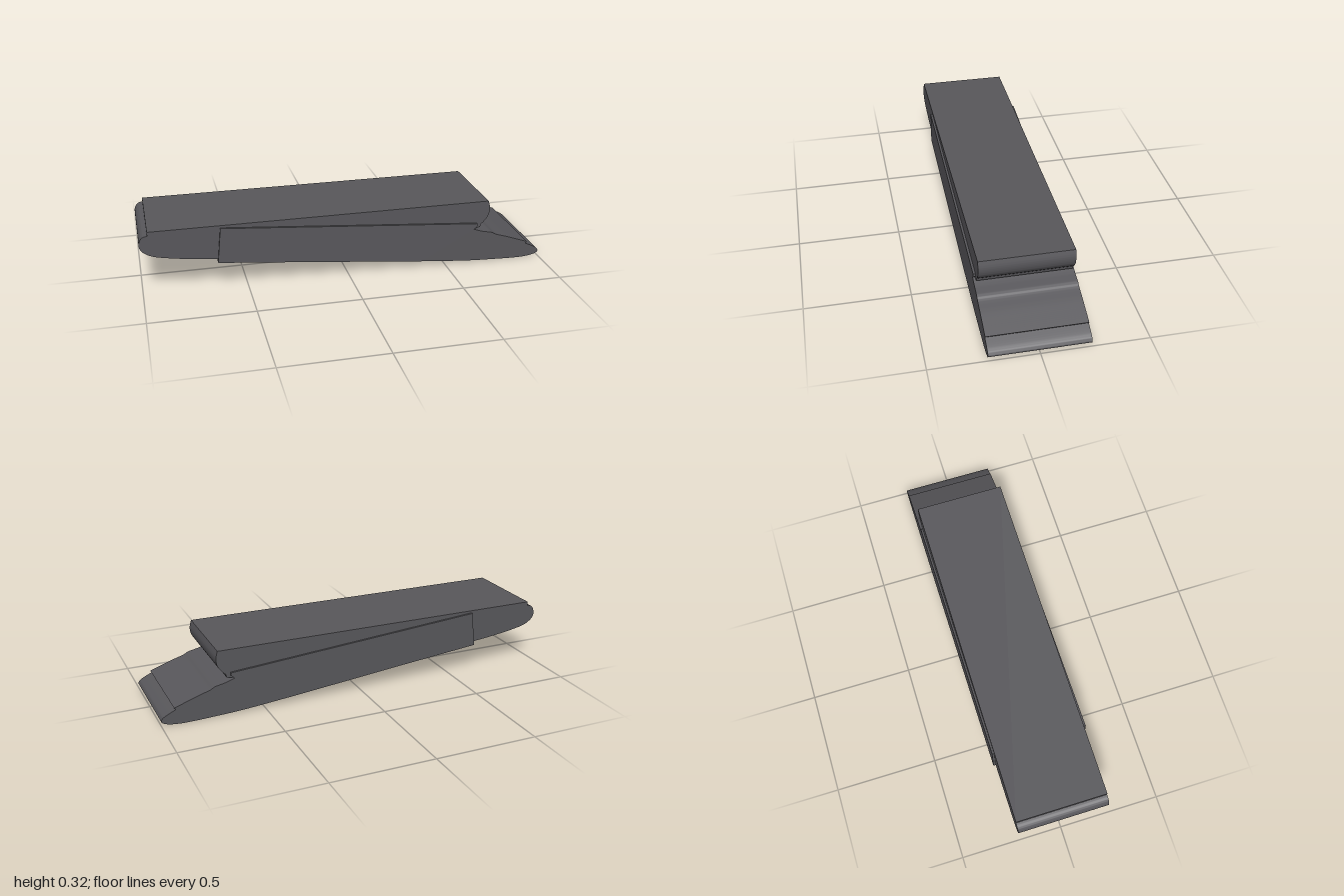
import * as THREE from 'three';
import { toCreasedNormals } from 'three/addons/utils/BufferGeometryUtils.js';

const darkGrey = new THREE.MeshStandardMaterial({ color: 0x58575b });
darkGrey.name = 'dark grey';

// Trace a closed side profile: a single point is a straight line, a list is a smooth curve
function profile(start, steps) {
  const shape = new THREE.Shape();
  shape.moveTo(...start);
  for (const step of steps) {
    if (Array.isArray(step[0])) shape.splineThru(step.map(([x, y]) => new THREE.Vector2(x, y)));
    else shape.lineTo(...step);
  }
  return shape;
}

// Extrude a side profile to a width centred on z = 0
function slab(name, shape, width) {
  const geometry = new THREE.ExtrudeGeometry(shape, { depth: width, bevelEnabled: false, curveSegments: 6 });
  geometry.translate(0, 0, -width / 2);
  const mesh = new THREE.Mesh(toCreasedNormals(geometry, 0.5), darkGrey);
  mesh.name = name;
  return mesh;
}

export function createModel() {
  const model = new THREE.Group();
  model.name = 'wedge';

  // Upper body: flat top, rounded nose at -x, hooked lip at +x
  const body = profile([-0.96, 0.322], [
    [-0.96, 0.302],
    [[-0.983, 0.296], [-0.998, 0.275], [-1, 0.245], [-0.98, 0.217], [-0.93, 0.193], [-0.83, 0.174]],
    [-0.72, 0.16], [-0.64, 0.152], [-0.6, 0.148], [0.55, 0.04], [0.64, 0.18],
    [0.68, 0.185], [0.683, 0.2],
    [[0.705, 0.222], [0.722, 0.25], [0.727, 0.285], [0.718, 0.322]],
  ]);
  model.add(slab('upperBody', body, 0.445));

  // Lower sleeve: slightly wider, sloping down to a rounded toe at +x
  const sleeve = profile([-0.622, 0.311], [
    [-0.64, 0.136], [-0.2, 0.092], [0.35, 0.035],
    [[0.6, 0.012], [0.75, 0.004], [0.88, 0], [0.95, 0.004], [0.988, 0.014], [1, 0.027], [0.985, 0.047], [0.93, 0.074]],
    [0.937, 0.083],
    [[0.88, 0.103], [0.82, 0.124], [0.765, 0.141], [0.74, 0.154], [0.69, 0.165], [0.645, 0.18]],
    [0.662, 0.195], [0.66, 0.209],
  ]);
  model.add(slab('lowerSleeve', sleeve, 0.466));

  return model;
}
